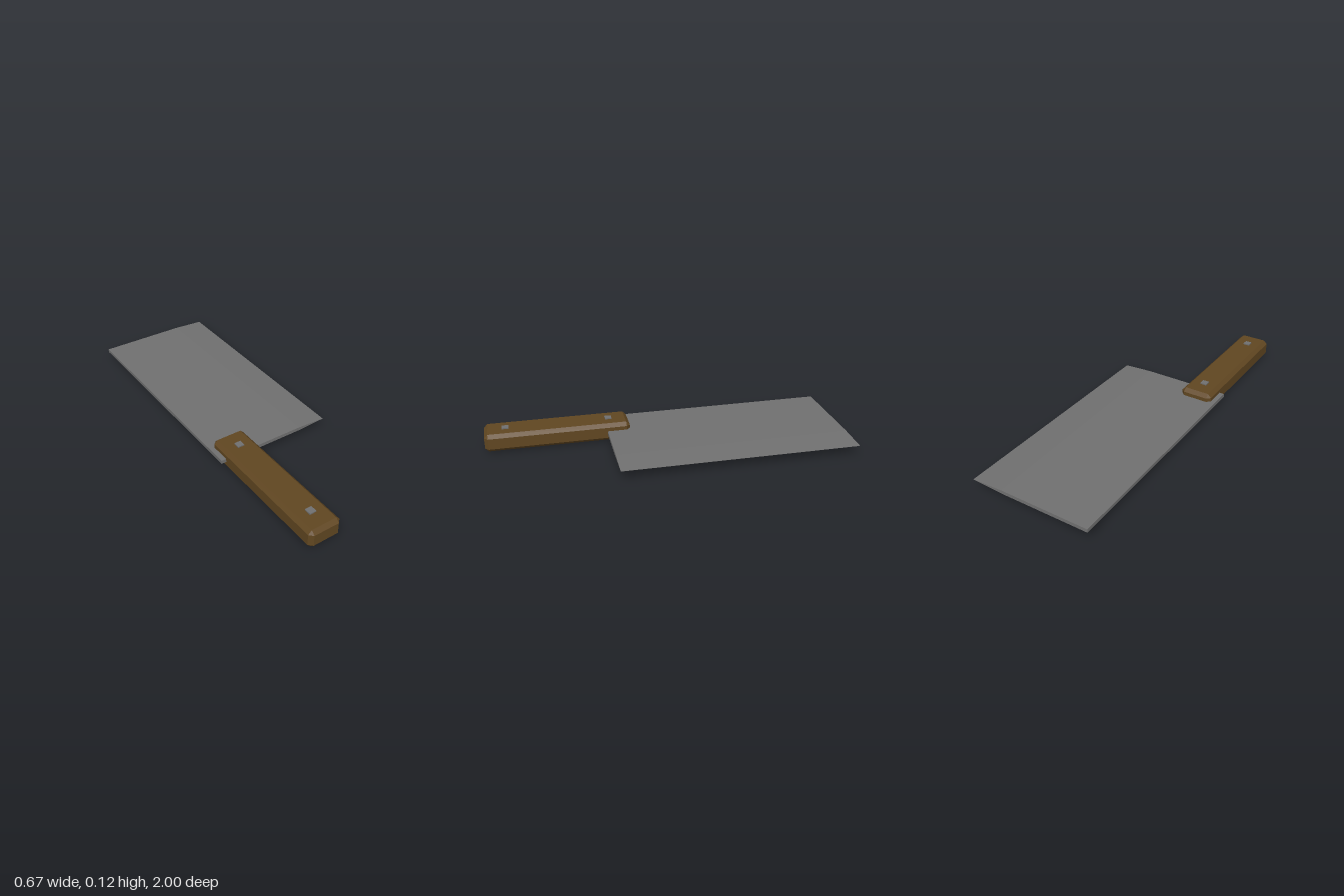
import * as THREE from 'three';
import { ConvexGeometry } from 'three/addons/geometries/ConvexGeometry.js';

// Box with every edge cut at 45 degrees: three inset points per corner
function chamferedBox(w, h, d, c) {
  const points = [];
  for (const sx of [-1, 1]) for (const sy of [-1, 1]) for (const sz of [-1, 1]) {
    const x = w / 2, y = h / 2, z = d / 2;
    points.push(
      new THREE.Vector3(sx * x, sy * (y - c), sz * (z - c)),
      new THREE.Vector3(sx * (x - c), sy * y, sz * (z - c)),
      new THREE.Vector3(sx * (x - c), sy * (y - c), sz * z)
    );
  }
  return new ConvexGeometry(points);
}

export function createModel() {
  const model = new THREE.Group();
  model.name = 'cleaver';
  const steel = new THREE.MeshStandardMaterial({ name: 'steel', color: 0x707070 });
  const wood = new THREE.MeshStandardMaterial({ name: 'brown wood', color: 0x604621 });

  const midY = 0.0575;
  const add = (name, geometry, material, x, y, z) => {
    const mesh = new THREE.Mesh(geometry, material);
    mesh.name = name;
    mesh.position.set(x, y, z);
    model.add(mesh);
  };

  // Blade: flat spine tapering to a fine cutting edge
  const t = 0.0095, tip = 0.0005, edgeX = 0.325;
  const section = new THREE.Shape([
    [-0.336, -t], [0.16, -t], [edgeX, -tip], [edgeX, tip], [0.16, t], [-0.336, t]
  ].map(([x, y]) => new THREE.Vector2(x, y)));
  const blade = new THREE.ExtrudeGeometry(section, { depth: 1.32, bevelEnabled: false });
  // The blade widens slightly toward the far end
  const p = blade.attributes.position;
  for (let i = 0; i < p.count; i++) {
    if (p.getX(i) > 0.3 && p.getZ(i) < 0.01) p.setX(i, 0.336);
  }
  blade.computeVertexNormals();
  add('blade', blade, steel, 0, midY, -1);

  // Handle
  add('handle', chamferedBox(0.181, 0.102, 0.81, 0.02), wood, -0.218, midY, 0.595);

  // Square rivets passing through the handle
  for (const z of [0.305, 0.883]) {
    add('rivet', new THREE.BoxGeometry(0.037, 0.115, 0.037), steel, -0.218, midY, z);
  }
  return model;
}
